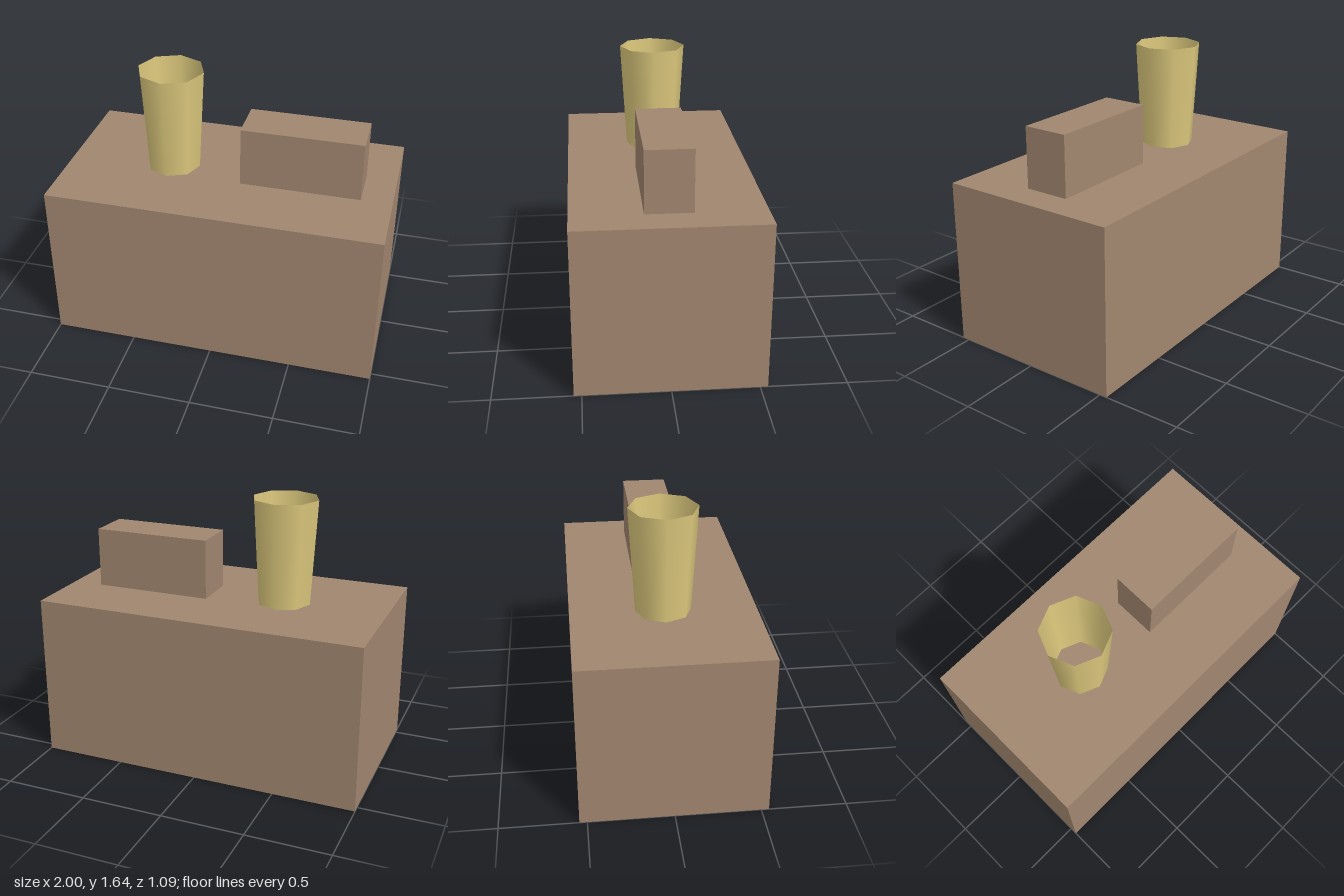
import * as THREE from 'three';

export function createModel() {
  const model = new THREE.Group();
  const wood = new THREE.MeshStandardMaterial({ color: 0xa1866f });
  const brass = new THREE.MeshStandardMaterial({ color: 0xdcc87c, side: THREE.DoubleSide });

  function add(name, geometry, material, x, y, z) {
    const mesh = new THREE.Mesh(geometry, material);
    mesh.name = name;
    mesh.position.set(x, y, z);
    model.add(mesh);
  }

  // Large block standing on the ground
  add('base', new THREE.BoxGeometry(2, 1, 1.09), wood, 0, 0.5, 0);

  // Small block resting on top
  add('topBlock', new THREE.BoxGeometry(0.725, 0.365, 0.273), wood, 0.451, 1.1825, 0);

  // Open eight-sided tapered tube, smooth shaded, no floor
  add('cup', new THREE.CylinderGeometry(0.2, 0.164, 0.637, 8, 1, true), brass, -0.365, 1.3185, 0);

  return model;
}
